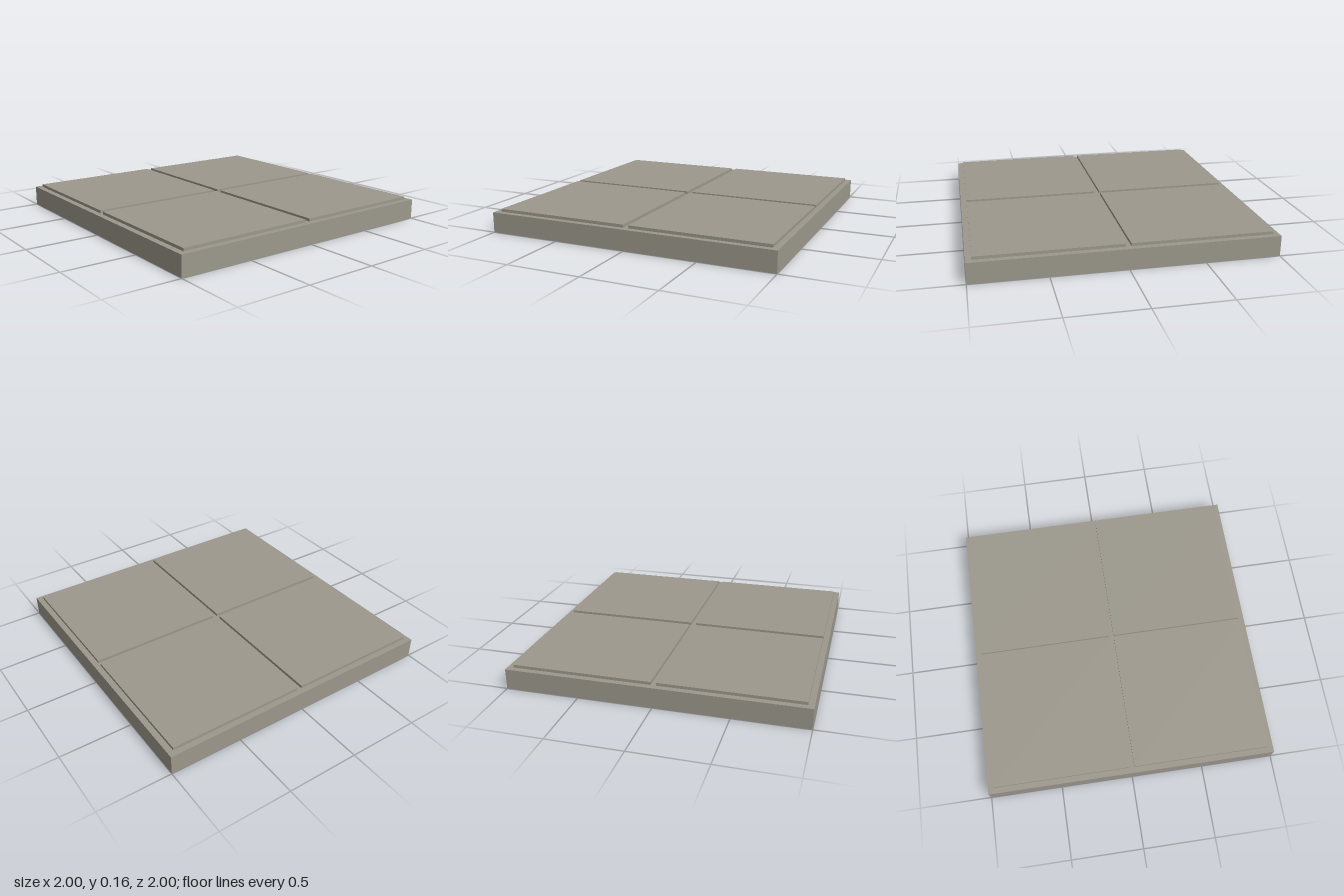
import * as THREE from 'three';

export function createModel() {
  const model = new THREE.Group();
  model.name = 'pavedFloorSlab';
  const stone = new THREE.MeshStandardMaterial({ color: 0x9c988c });
  stone.name = 'warm grey stone';

  const baseHeight = 0.14, tileHeight = 0.02, tileSize = 0.942, tileCentre = 0.489;

  // Square foundation slab
  const base = new THREE.Mesh(new THREE.BoxGeometry(2, baseHeight, 2), stone);
  base.name = 'baseSlab';
  base.position.y = baseHeight / 2;
  model.add(base);

  // Four raised paving tiles separated by narrow joints
  const tileGeometry = new THREE.BoxGeometry(tileSize, tileHeight, tileSize);
  for (const [sx, side] of [[-1, 'Right'], [1, 'Left']]) {
    for (const [sz, end] of [[-1, 'back'], [1, 'front']]) {
      const tile = new THREE.Mesh(tileGeometry, stone);
      tile.name = `${end}${side}Tile`;
      tile.position.set(sx * tileCentre, baseHeight + tileHeight / 2, sz * tileCentre);
      model.add(tile);
    }
  }
  return model;
}
